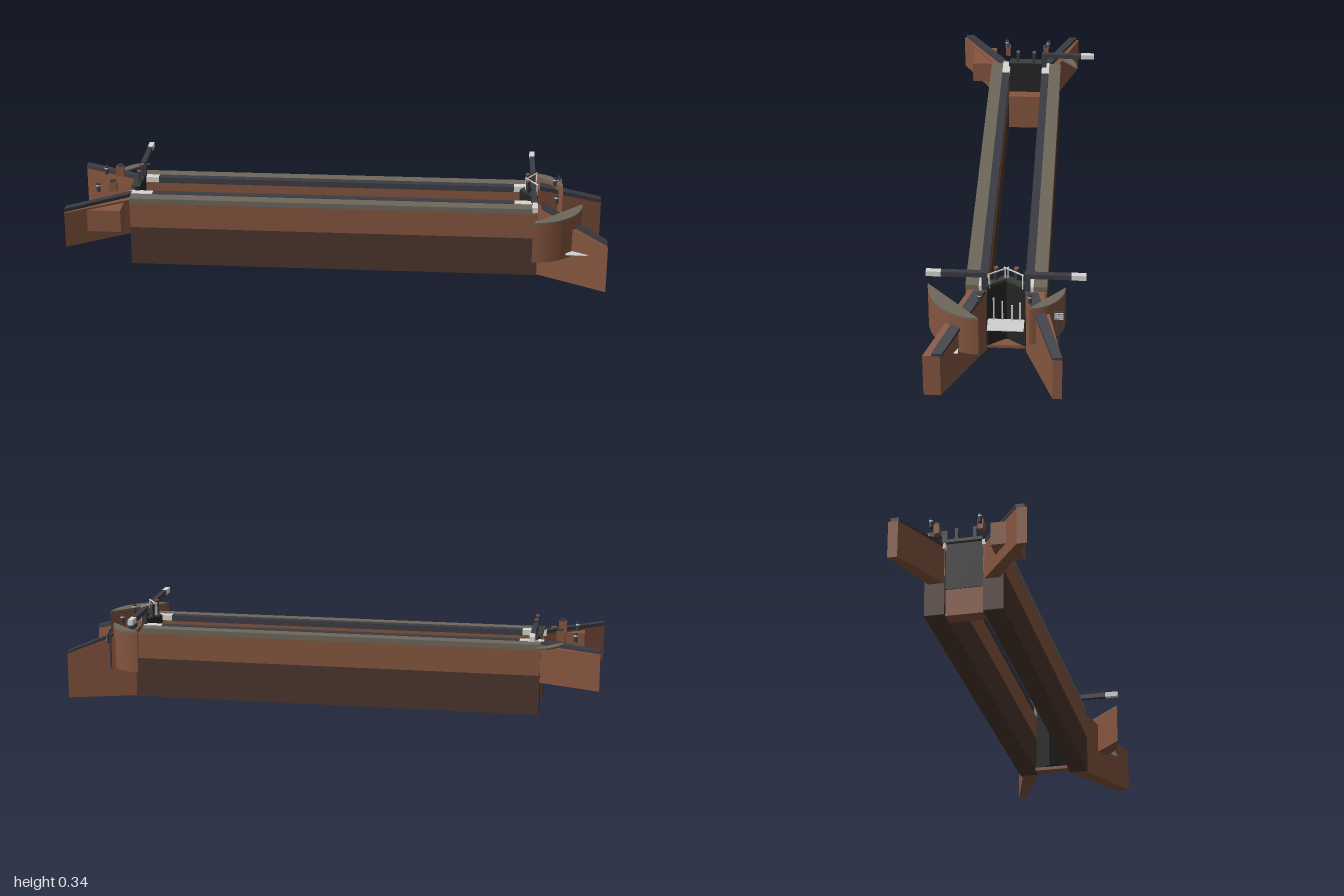
import * as THREE from 'three';

const mat = (name, color) => Object.assign(new THREE.MeshStandardMaterial({ color }), { name });

export function createModel() {
  const root = new THREE.Group();
  root.name = 'canalLock';
  const M = {
    brick: mat('brick', 0x85553f),
    wet: mat('wetBrick', 0x4c352c),
    stone: mat('copingStone', 0x6e685b),
    edge: mat('edgeBrick', 0x3c3c44),
    gate: mat('gateTimber', 0x252525),
    white: mat('whitePaint', 0xd6d6d2),
    foam: mat('foam', 0xcfd2d0),
    walk: mat('walkway', 0x394038),
  };

  const add = (name, geo, m, parent = root) => {
    const mesh = new THREE.Mesh(geo, m);
    mesh.name = name;
    parent.add(mesh);
    return mesh;
  };
  // Box given by its min and max on each axis
  const box = (name, m, [x0, x1], [y0, y1], [z0, z1], parent) => {
    const b = add(name, new THREE.BoxGeometry(x1 - x0, y1 - y0, Math.abs(z1 - z0)), m, parent);
    b.position.set((x0 + x1) / 2, (y0 + y1) / 2, (z0 + z1) / 2);
    return b;
  };
  // Splayed slab: z range and y range differ at its two x ends
  const slab = (name, m, a, b) => {
    const unit = new THREE.BoxGeometry(1, 1, 1);
    const geo = unit.toNonIndexed();
    const p = geo.attributes.position;
    for (let i = 0; i < p.count; i++) {
      const e = p.getX(i) < 0 ? a : b;
      p.setXYZ(i, e.x, e.y[p.getY(i) < 0 ? 0 : 1], e.z[p.getZ(i) < 0 ? 0 : 1]);
    }
    geo.computeVertexNormals();
    return add(name, geo, m);
  };
  const side = (s, z0, z1) => (s > 0 ? [z0, z1] : [-z1, -z0]);

  // Chamber walls with coping
  for (const s of [1, -1]) {
    box('lowerWall', M.wet, [-0.78, 0.75], [0, 0.15], side(s, 0.068, 0.14));
    box('upperWall', M.brick, [-0.78, 0.74], [0.15, 0.248], side(s, 0.068, 0.14));
    box('coping', M.stone, [-0.78, 0.725], [0.248, 0.268], side(s, 0.095, 0.142));
    box('chamberEdge', M.edge, [-0.70, 0.66], [0.248, 0.27], side(s, 0.065, 0.095));
    box('quoinUpper', M.white, [-0.79, -0.70], [0.25, 0.27], side(s, 0.065, 0.095));
    box('quoinLower', M.white, [0.66, 0.73], [0.25, 0.27], side(s, 0.065, 0.095));
  }
  box('breastWall', M.brick, [-0.765, -0.71], [0, 0.15], [-0.068, 0.068]);
  box('lowerSill', M.brick, [0.70, 0.735], [0, 0.013], [-0.068, 0.068]);

  // Lower wing walls slope down, upper wing walls stay level
  for (const s of [1, -1]) {
    const [zi, zo, ci, co] = s > 0 ? [0.21, 0.27, 0.203, 0.24] : [0.173, 0.205, 0.17, 0.205];
    slab('lowerWing', M.brick,
      { x: 0.745, y: [0, 0.262], z: side(s, 0.068, 0.13) },
      { x: 1, y: [0, 0.172], z: side(s, zi, zo) });
    slab('lowerWingCap', M.edge,
      { x: 0.76, y: [0.256, 0.272], z: side(s, 0.072, 0.112) },
      { x: 1, y: [0.17, 0.182], z: side(s, ci, co) });
    const [ui, uo] = s > 0 ? [0.235, 0.27] : [0.175, 0.21];
    slab('upperWing', M.brick,
      { x: -1, y: [0.12, 0.257], z: side(s, ui, uo) },
      { x: -0.775, y: [0.12, 0.257], z: side(s, 0.068, 0.125) });
    slab('upperWingCap', M.edge,
      { x: -1, y: [0.257, 0.27], z: side(s, ui - 0.003, uo - 0.008) },
      { x: -0.78, y: [0.257, 0.27], z: side(s, 0.068, 0.1) });
  }
  box('overflowBox', M.brick, [-0.93, -0.8], [0.165, 0.25], [0.13, 0.222]);

  // Quarter-round platforms under the balance beams
  const quadrant = (x, z, r, y0, start) => {
    const g = new THREE.Group();
    g.name = 'beamPlatform';
    const shape = new THREE.Shape();
    shape.moveTo(0, 0);
    shape.absarc(0, 0, r, start, start + Math.PI / 2, false);
    shape.closePath();
    const layer = (name, m, a, b) => {
      const geo = new THREE.ExtrudeGeometry(shape, { depth: b - a, bevelEnabled: false, curveSegments: 20 });
      geo.rotateX(-Math.PI / 2);
      add(name, geo, m, g).position.set(x, a, z);
    };
    if (y0 < 0.25) layer('platformBrick', M.brick, y0, 0.264);
    layer('platformTop', M.stone, Math.max(y0, 0.264), 0.271);
    root.add(g);
  };
  quadrant(0.725, 0.085, 0.187, 0.112, -Math.PI / 2);
  quadrant(0.725, -0.085, 0.122, 0.112, 0);
  quadrant(-0.755, -0.1, 0.108, 0.252, Math.PI / 2);

  // Paddle gear: a dark post with a brown cap
  const paddle = (x, z, parent) => {
    box('paddlePost', M.edge, [x - 0.006, x + 0.006], [0.27, 0.334], [z - 0.006, z + 0.006], parent);
    box('paddleCap', M.brick, [x - 0.007, x + 0.007], [0.334, 0.338], [z - 0.007, z + 0.007], parent);
  };
  // Balance beam with heel post and white end
  const beam = (x, s, y0, y1, parent) => {
    box('heelPost', M.edge, [x - 0.009, x + 0.009], [0.25, y1], side(s, 0.064, 0.084), parent);
    box('balanceBeam', M.edge, [x - 0.009, x + 0.009], [y0, y1], side(s, 0.064, 0.225), parent);
    box('beamEnd', M.white, [x - 0.0095, x + 0.0095], [y0 - 0.0005, y1 + 0.0005], side(s, 0.225, 0.277), parent);
  };

  // Upper gate, a single leaf
  const upper = new THREE.Group();
  upper.name = 'upperGate';
  root.add(upper);
  box('gateLeaf', M.gate, [-0.768, -0.75], [0.1, 0.285], [-0.07, 0.07], upper);
  box('gateWalkway', M.walk, [-0.782, -0.75], [0.276, 0.288], [-0.066, 0.066], upper);
  beam(-0.757, -1, 0.314, 0.332, upper);
  for (const z of [-0.033, 0.033]) paddle(-0.757, z, upper);

  // Lower gates, a mitred pair pointing upstream
  const angle = Math.atan2(0.045, 0.07);
  for (const s of [1, -1]) {
    const leaf = new THREE.Group();
    leaf.name = 'lowerGate';
    leaf.position.set(0.71, 0, 0.035 * s);
    leaf.rotation.y = angle * s;
    root.add(leaf);
    box('gateLeaf', M.gate, [-0.008, 0.008], [0.013, 0.285], [-0.042, 0.042], leaf);
    box('gateWalkway', M.walk, [-0.002, 0.018], [0.276, 0.288], [-0.04, 0.04], leaf);
    box('handrail', M.white, [0.014, 0.018], [0.33, 0.334], [-0.042, 0.042], leaf);
    for (const z of [-0.038, 0.036]) {
      box('railPost', M.white, [0.014, 0.018], [0.272, 0.332], [z - 0.002, z + 0.002], leaf);
    }
    paddle(0, 0, leaf);
    beam(0.73, s, 0.313, 0.332);
  }

  // Water leaking through the lower gates onto a foam patch
  box('gateFoam', M.foam, [0.735, 0.8], [0.128, 0.131], [-0.064, 0.064]);
  for (const [z, top] of [[0.043, 0.227], [0.013, 0.212], [-0.021, 0.195], [-0.049, 0.208]]) {
    box('leak', M.foam, [0.737, 0.742], [0.13, top], [z - 0.003, z + 0.003]);
  }
  box('outfallFoam', M.foam, [0.85, 0.93], [0.128, 0.131], [0.155, 0.235]);

  // Mooring bollards and brown posts beside the gates
  for (const s of [1, -1]) {
    for (const x of [-0.905, 0.815]) {
      const bollard = new THREE.Group();
      bollard.name = 'bollard';
      bollard.position.set(x, 0.27, 0.086 * s);
      root.add(bollard);
      for (const [m, r, y, h] of [[M.edge, 0.007, 0, 0.022], [M.white, 0.0075, 0.022, 0.006], [M.edge, 0.008, 0.028, 0.004]]) {
        add('bollardPart', new THREE.CylinderGeometry(r, r, h, 12), m, bollard).position.y = y + h / 2;
      }
    }
    box('windlassPost', M.brick, [-0.865, -0.835], [0.27, 0.307], side(s, 0.068, 0.088));
    box('windlassCap', M.edge, [-0.86, -0.84], [0.307, 0.315], side(s, 0.072, 0.084));
  }

  // Notice board with plain white slats
  box('noticePost', M.edge, [0.832, 0.838], [0.12, 0.27], [-0.19, -0.184]);
  box('noticeBoard', M.edge, [0.838, 0.843], [0.218, 0.256], [-0.205, -0.168]);
  for (let i = 0; i < 4; i++) {
    box('noticeSlat', M.white, [0.843, 0.845], [0.223 + i * 0.008, 0.227 + i * 0.008], [-0.202, -0.171]);
  }
  return root;
}
